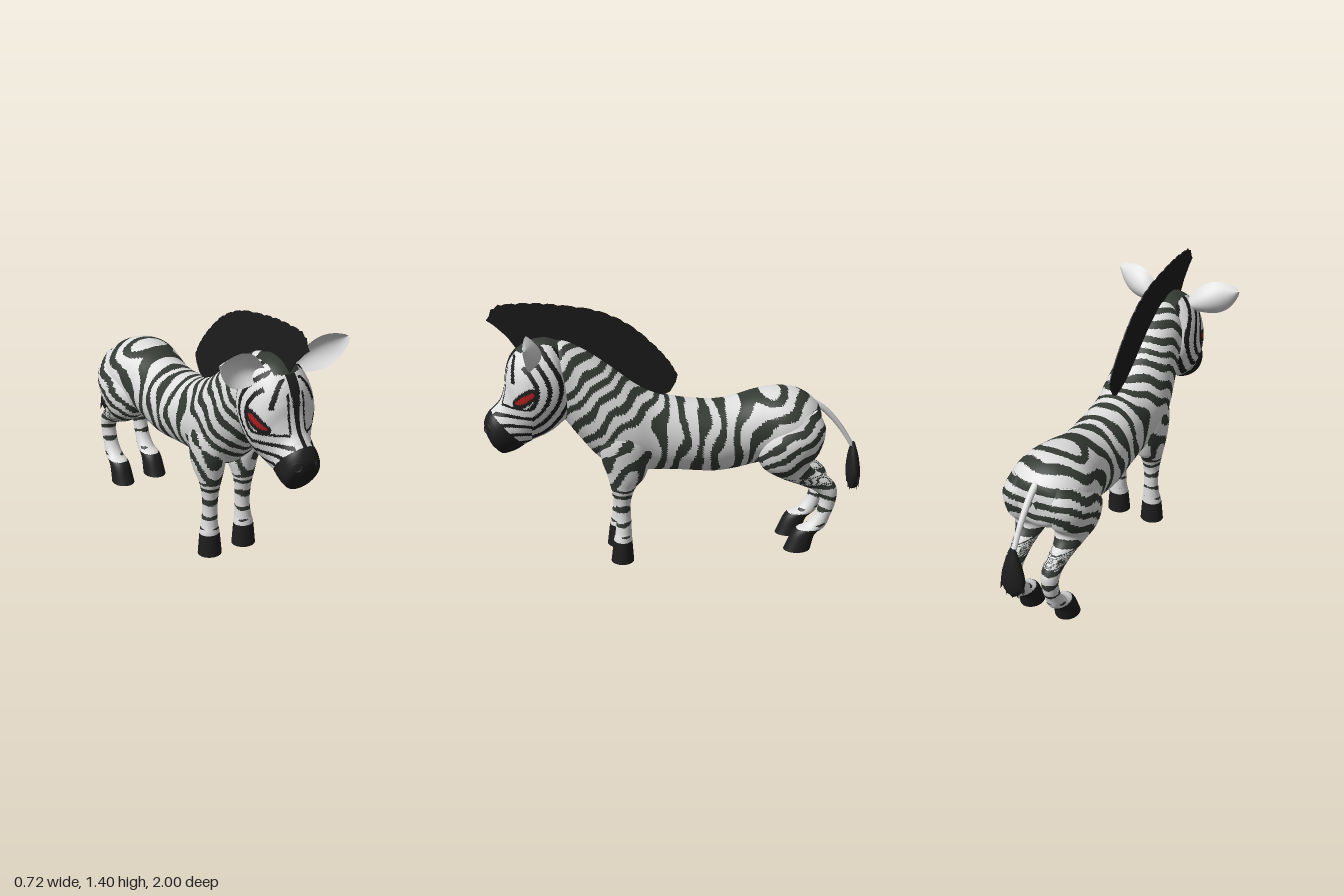
import * as THREE from 'three';

const mat = (name, color) => new THREE.MeshStandardMaterial({ name, color, side: THREE.DoubleSide });
const step = THREE.MathUtils.smoothstep;
const mix = THREE.MathUtils.lerp;
const COAT = 0, STRIPE = 1, BLACK = 2, RED = 3;

// Tube of elliptical rings. Section: [z1, y1, z2, y2, half width, centre x], the two points being opposite ring ends.
function loft(name, secs, nU, nV, paint, mats, side = 1) {
  const a = new THREE.CatmullRomCurve3(secs.map(s => new THREE.Vector3((s[5] || 0) * side, s[1], s[0])), false, 'catmullrom', 0.5);
  const b = new THREE.CatmullRomCurve3(secs.map(s => new THREE.Vector3(s[4], s[3], s[2])), false, 'catmullrom', 0.5);
  const pos = [], buckets = [[], [], [], []];
  const ring = t => {
    const A = a.getPoint(t), B = b.getPoint(t);
    for (let j = 0; j < nV; j++) {
      const th = j / nV * Math.PI * 2, c = Math.cos(th) / 2;
      pos.push(A.x + B.x * Math.sin(th), (A.y + B.y) / 2 + (A.y - B.y) * c, (A.z + B.z) / 2 + (A.z - B.z) * c);
    }
  };
  const face = (...f) => {
    const m = [0, 1, 2].map(k => (pos[f[0] * 3 + k] + pos[f[1] * 3 + k] + pos[f[2] * 3 + k]) / 3);
    buckets[paint(m[0], m[1], m[2])].push(...f);
  };
  for (let i = 0; i <= nU; i++) ring(i / nU);
  for (let i = 0; i < nU; i++) for (let j = 0; j < nV; j++) {
    const p = i * nV + j, q = i * nV + (j + 1) % nV;
    face(p, p + nV, q);
    face(q, p + nV, q + nV);
  }
  // End caps with their own vertices
  for (const t of [0, 1]) {
    const s = pos.length / 3, A = a.getPoint(t), B = b.getPoint(t);
    ring(t);
    pos.push(A.x, (A.y + B.y) / 2, (A.z + B.z) / 2);
    for (let j = 0; j < nV; j++) {
      const p = s + j, q = s + (j + 1) % nV;
      t ? face(s + nV, q, p) : face(s + nV, p, q);
    }
  }
  const g = new THREE.BufferGeometry();
  g.setAttribute('position', new THREE.Float32BufferAttribute(pos, 3));
  g.setIndex(buckets.flat());
  let start = 0;
  buckets.forEach((k, i) => { if (k.length) g.addGroup(start, k.length, i); start += k.length; });
  g.computeVertexNormals();
  const mesh = new THREE.Mesh(g, mats);
  mesh.name = name;
  return mesh;
}

// Stripes of torso, neck and legs
function coatPaint(x, y, z) {
  if (y < 0.12) return BLACK;
  const ax = Math.abs(x);
  const n = 0.5 * Math.sin(21 * y + 11 * z) + 0.5 * Math.sin(31 * z - 17 * y + 9 * ax);
  let p = (z + 0.42 + 0.12 * (y - 0.68)) / 0.098;
  p = mix(p, ((y - 0.68) + 0.6 * (z + 0.42)) / 0.098, step(-z, 0.32, 0.5));
  p = mix(p, 5 + ((z - 0.15) * 0.7 + (y - 0.7) * 0.75 - 0.35 * ax) / 0.085, step(z + 0.6 * (y - 0.7), 0.1, 0.35));
  let thr = 0.12 + 0.3 * Math.sin(37 * y + 5 * z + 20 * ax) * Math.sin(29 * z + 8 * y);
  if (y < 0.44) {
    p = mix(y / 0.07, p, step(y, 0.38, 0.44));
    thr = 0.3 + Math.max(0, 0.34 - y) * 3.5 + 0.2 * Math.sin(60 * z + 40 * ax);
  }
  return Math.sin(2 * Math.PI * (p + 0.24 * n)) > thr ? STRIPE : COAT;
}

// Muzzle, eyes and face stripes
function headPaint(x, y, z) {
  const ax = Math.abs(x);
  if ((z - 0.8) * 0.19 - (y - 0.67) * 0.17 > 0) return BLACK;
  const dz = z - 0.79, dy = y - 0.95 + 0.6 * dz;
  if (ax > 0.06) {
    if (Math.hypot(dz / 0.048, dy / 0.018) < 1) return RED;
    if (Math.hypot(dz / 0.06, dy / 0.042) < 1) return BLACK;
  }
  if (y > 1.165 && ax < 0.07) return STRIPE;
  if (z > 0.78 && ax < 0.125 && y > 0.9) {
    const arc = 0.03 + 0.085 * Math.sqrt(THREE.MathUtils.clamp((1.15 - y) / 0.12, 0, 1));
    if (ax < 0.008 + 0.022 * step(y, 0.85, 1.2)) return BLACK;
    if (y > 1.02 && y < 1.15 && Math.abs(ax - arc) < 0.01) return BLACK;
    if (y < 1.09 && Math.abs(ax - 0.042) < 0.005) return BLACK;
    return COAT;
  }
  if (z > 0.76 && y < 0.9) return ax < 0.009 || (ax > 0.045 && Math.sin(2 * Math.PI * y / 0.052) > 0.45) ? BLACK : COAT;
  const r = Math.hypot(z - 0.86, y - 1.0);
  return r > 0.1 && Math.sin(2 * Math.PI * r / 0.058 + 0.9 * Math.sin(19 * y + 8 * z)) > 0.3 ? BLACK : COAT;
}

function ear(side, material) {
  const g = new THREE.PlaneGeometry(1, 1, 20, 14), p = g.attributes.position;
  for (let i = 0; i < p.count; i++) {
    const u = p.getX(i) + 0.5, v = p.getY(i) * 2, s = Math.sin(Math.PI * u);
    const h = (0.035 + 0.052 * s) * Math.sqrt(1.02 - u ** 8) * v;
    const cup = (0.03 + 0.045 * s) * (1 - v * v) * (1 - 0.5 * u);
    p.setXYZ(i, side * (0.1 + 0.26 * u - 0.45 * h), 1.15 + 0.115 * u + 0.89 * h, 0.74 + 0.055 * u - cup);
  }
  if (side < 0) g.index.array.reverse();
  g.computeVertexNormals();
  const mesh = new THREE.Mesh(g, material);
  mesh.name = side > 0 ? 'leftEar' : 'rightEar';
  return mesh;
}

export function createModel() {
  const group = new THREE.Group();
  group.name = 'zebra';
  const mats = [mat('coatWhite', 0xdedede), mat('stripeGrey', 0x343a34), mat('softBlack', 0x1d1d1d), mat('eyeRed', 0xb01c1c)];

  // Torso and neck
  group.add(loft('torsoAndNeck', [
    [-0.765, 0.75, -0.765, 0.67, 0.03], [-0.74, 0.81, -0.75, 0.58, 0.13], [-0.66, 0.87, -0.68, 0.53, 0.195],
    [-0.55, 0.895, -0.56, 0.5, 0.212], [-0.42, 0.885, -0.42, 0.49, 0.185], [-0.3, 0.855, -0.3, 0.465, 0.172],
    [-0.18, 0.842, -0.18, 0.455, 0.175], [0, 0.865, 0, 0.472, 0.168], [0.12, 0.9, 0.15, 0.48, 0.165],
    [0.2, 0.94, 0.3, 0.49, 0.18], [0.28, 1.0, 0.42, 0.57, 0.175], [0.38, 1.08, 0.52, 0.69, 0.155],
    [0.48, 1.15, 0.6, 0.8, 0.135], [0.58, 1.2, 0.65, 0.87, 0.12], [0.66, 1.2, 0.7, 0.95, 0.08],
  ], 200, 96, coatPaint, mats));

  // Head
  group.add(loft('head', [
    [0.6, 1.2, 0.57, 0.98, 0.08], [0.68, 1.222, 0.55, 0.9, 0.145], [0.77, 1.205, 0.56, 0.82, 0.17],
    [0.845, 1.14, 0.62, 0.755, 0.175], [0.877, 1.06, 0.68, 0.715, 0.165], [0.887, 0.98, 0.735, 0.69, 0.135],
    [0.907, 0.91, 0.79, 0.66, 0.105], [0.94, 0.87, 0.83, 0.635, 0.1], [0.975, 0.835, 0.87, 0.62, 0.1],
    [0.997, 0.79, 0.91, 0.615, 0.088], [0.998, 0.75, 0.95, 0.645, 0.05],
  ], 130, 120, headPaint, mats));

  for (const side of [1, -1]) {
    const s = side > 0 ? 'left' : 'right';
    // Legs with hooves
    group.add(loft(s + 'FrontLeg', [
      [0.4, 0.78, 0.2, 0.78, 0.05, 0.1], [0.42, 0.68, 0.16, 0.68, 0.075, 0.11], [0.41, 0.58, 0.16, 0.58, 0.08, 0.105],
      [0.385, 0.5, 0.185, 0.48, 0.075, 0.1], [0.365, 0.42, 0.235, 0.42, 0.058, 0.1], [0.345, 0.34, 0.262, 0.34, 0.045, 0.1],
      [0.338, 0.25, 0.262, 0.25, 0.04, 0.1], [0.345, 0.17, 0.26, 0.17, 0.045, 0.103], [0.355, 0.12, 0.258, 0.12, 0.054, 0.105],
      [0.37, 0, 0.25, 0, 0.064, 0.105],
    ], 100, 40, coatPaint, mats, side));
    group.add(loft(s + 'BackLeg', [
      [-0.45, 0.74, -0.72, 0.8, 0.08, 0.11], [-0.4, 0.61, -0.765, 0.7, 0.122, 0.12], [-0.43, 0.5, -0.74, 0.58, 0.11, 0.12],
      [-0.53, 0.43, -0.69, 0.51, 0.08, 0.115], [-0.64, 0.38, -0.72, 0.455, 0.055, 0.11], [-0.71, 0.345, -0.8, 0.41, 0.048, 0.105],
      [-0.75, 0.31, -0.845, 0.345, 0.045, 0.105], [-0.755, 0.27, -0.84, 0.26, 0.041, 0.105], [-0.735, 0.2, -0.815, 0.19, 0.042, 0.105],
      [-0.69, 0.145, -0.79, 0.13, 0.047, 0.105], [-0.62, 0.11, -0.735, 0.085, 0.055, 0.105], [-0.565, 0, -0.71, 0, 0.062, 0.105],
    ], 120, 44, coatPaint, mats, side));
    group.add(ear(side, mats[COAT]));
    // Nostril rim
    const nostril = new THREE.Mesh(new THREE.TorusGeometry(0.02, 0.007, 8, 20), mats[BLACK]);
    nostril.position.set(side * 0.055, 0.767, 0.982);
    nostril.rotation.set(-0.3, side * 0.6, 0);
    nostril.name = s + 'Nostril';
    group.add(nostril);
  }

  // Mane: thin upright sheet with a ragged crest
  const crest = new THREE.CatmullRomCurve3([
    [0, 0.99], [0.04, 1.06], [0.12, 1.155], [0.25, 1.27], [0.4, 1.345], [0.6, 1.385], [0.75, 1.4], [0.9, 1.397],
  ].map(p => new THREE.Vector3(p[0], p[1], 0))).getPoints(60);
  const shape = new THREE.Shape([
    [0.1, 0.87], [0.04, 0.9], [0.01, 0.95],
  ].map(p => new THREE.Vector2(...p)).concat(
    crest.map((p, i) => new THREE.Vector2(p.x, p.y - (i % 4 === 3 ? 0.006 : 0))),
    [[0.92, 1.375], [0.935, 1.375], [0.945, 1.34], [0.96, 1.32], [0.92, 1.29], [0.86, 1.23], [0.82, 1.17], [0.76, 1.13], [0.6, 1.1], [0.4, 1.0]].map(p => new THREE.Vector2(...p))));
  const maneGeo = new THREE.ExtrudeGeometry(shape, { depth: 0.006, bevelEnabled: false });
  maneGeo.translate(0, 0, -0.003).rotateY(-Math.PI / 2);
  const mane = new THREE.Mesh(maneGeo, mats[BLACK]);
  mane.name = 'mane';
  group.add(mane);

  // Tail and its tuft
  group.add(loft('tail', [
    [-0.68, 0.81, -0.68, 0.85, 0.02], [-0.78, 0.745, -0.795, 0.775, 0.018],
    [-0.87, 0.645, -0.89, 0.665, 0.015], [-0.945, 0.53, -0.965, 0.54, 0.014],
  ], 24, 14, () => COAT, mats));
  group.add(loft('tailTuft', [
    [-0.945, 0.56, -0.965, 0.56, 0.015], [-0.93, 0.48, -0.988, 0.48, 0.045], [-0.925, 0.39, -1.0, 0.39, 0.064],
    [-0.935, 0.33, -0.995, 0.33, 0.05], [-0.945, 0.295, -0.98, 0.295, 0.018],
  ], 24, 20, () => BLACK, mats));
  for (let i = 0; i < 9; i++) {
    const t = i / 8 * 2 - 1;
    const lock = new THREE.Mesh(new THREE.ConeGeometry(0.014, 0.08, 6), mats[BLACK]);
    lock.position.set(t * 0.055, 0.32 + 0.035 * t * t, -0.962 + 0.016 * (i % 2 ? 1 : -1));
    lock.rotation.z = Math.PI + t * 0.3;
    lock.name = 'tuftLock';
    group.add(lock);
  }
  return group;
}
